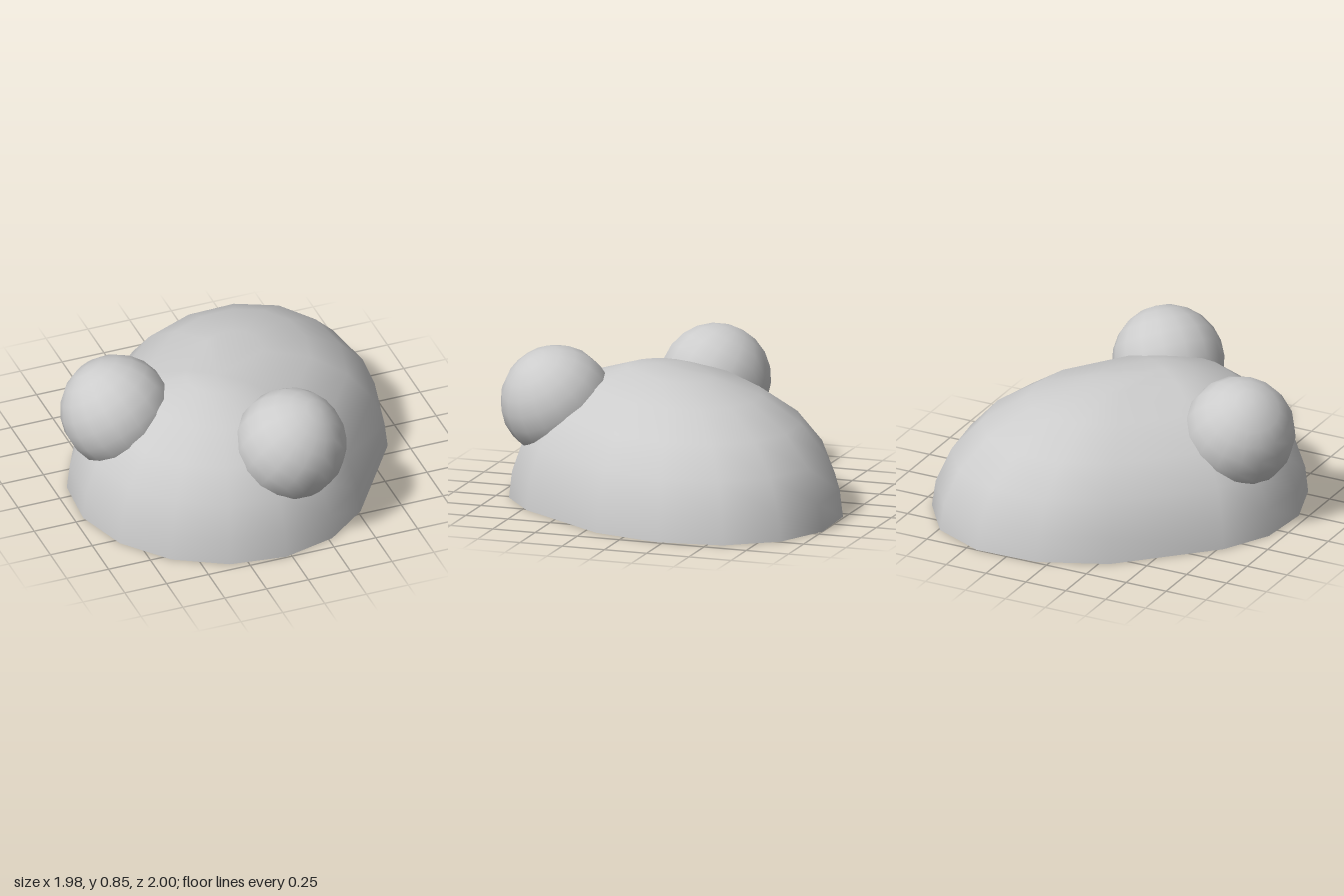
import * as THREE from 'three';
import { mergeVertices } from 'three/addons/utils/BufferGeometryUtils.js';

// Local axes: x runs along the body, z across it.
const WIDTH = 0.845;
const LEVELS = [[0, 0.74], [0.21, 0.727], [0.51, 0.65], [0.745, 0.51], [0.9, 0.34], [0.98, 0.15], [1, 0]]; // radius, height

// Egg outline: one end short and round, the other drawn out
function along(x) {
  if (x > 1e-6) return -0.055 + 1.13 * x;
  return -0.283 + 0.79 * x;
}

function smooth(geometry) {
  geometry.deleteAttribute('uv');
  geometry.deleteAttribute('normal');
  const merged = mergeVertices(geometry, 1e-4);
  merged.computeVertexNormals();
  return merged;
}

function domeGeometry() {
  const g = new THREE.SphereGeometry(1, 16, 6, 0, Math.PI * 2, 0, Math.PI / 2);
  const p = g.attributes.position;
  for (let i = 0; i < p.count; i++) {
    const row = Math.floor(i / 17);
    const [r, y] = LEVELS[row];
    const k = r / Math.max(Math.sin((row / 6) * Math.PI / 2), 1e-6);
    p.setXYZ(i, along(p.getX(i) * k), y, p.getZ(i) * k * WIDTH);
  }
  return smooth(g);
}

function baseGeometry() {
  const g = new THREE.CircleGeometry(1, 16).rotateX(Math.PI / 2);
  const p = g.attributes.position;
  for (let i = 0; i < p.count; i++) p.setXYZ(i, along(p.getX(i)), 0, p.getZ(i) * WIDTH);
  return g;
}

export function createModel() {
  const grey = new THREE.MeshStandardMaterial({ color: 0xcccccc });
  grey.name = 'light grey';
  const model = new THREE.Group();
  model.name = 'roundedBodyWithTwoBalls';

  const add = (name, geometry) => {
    const mesh = new THREE.Mesh(geometry, grey);
    mesh.name = name;
    model.add(mesh);
    return mesh;
  };

  // Half-egg body with a flat underside
  add('bodyDome', domeGeometry());
  add('bodyBase', baseGeometry());

  // Mirrored pair of balls sunk into the shoulders
  for (const side of [-1, 1]) {
    const ball = add(side < 0 ? 'rightBall' : 'leftBall', smooth(new THREE.SphereGeometry(0.315, 16, 11)));
    ball.position.set(-0.518, 0.535, side * 0.512);
    ball.rotation.x = side * 0.6;
  }

  // Turn the long axis toward the back left
  model.rotation.y = 0.874;
  model.position.set(0.05, 0, -0.035);
  const root = new THREE.Group();
  root.name = 'model';
  root.add(model);
  return root;
}
